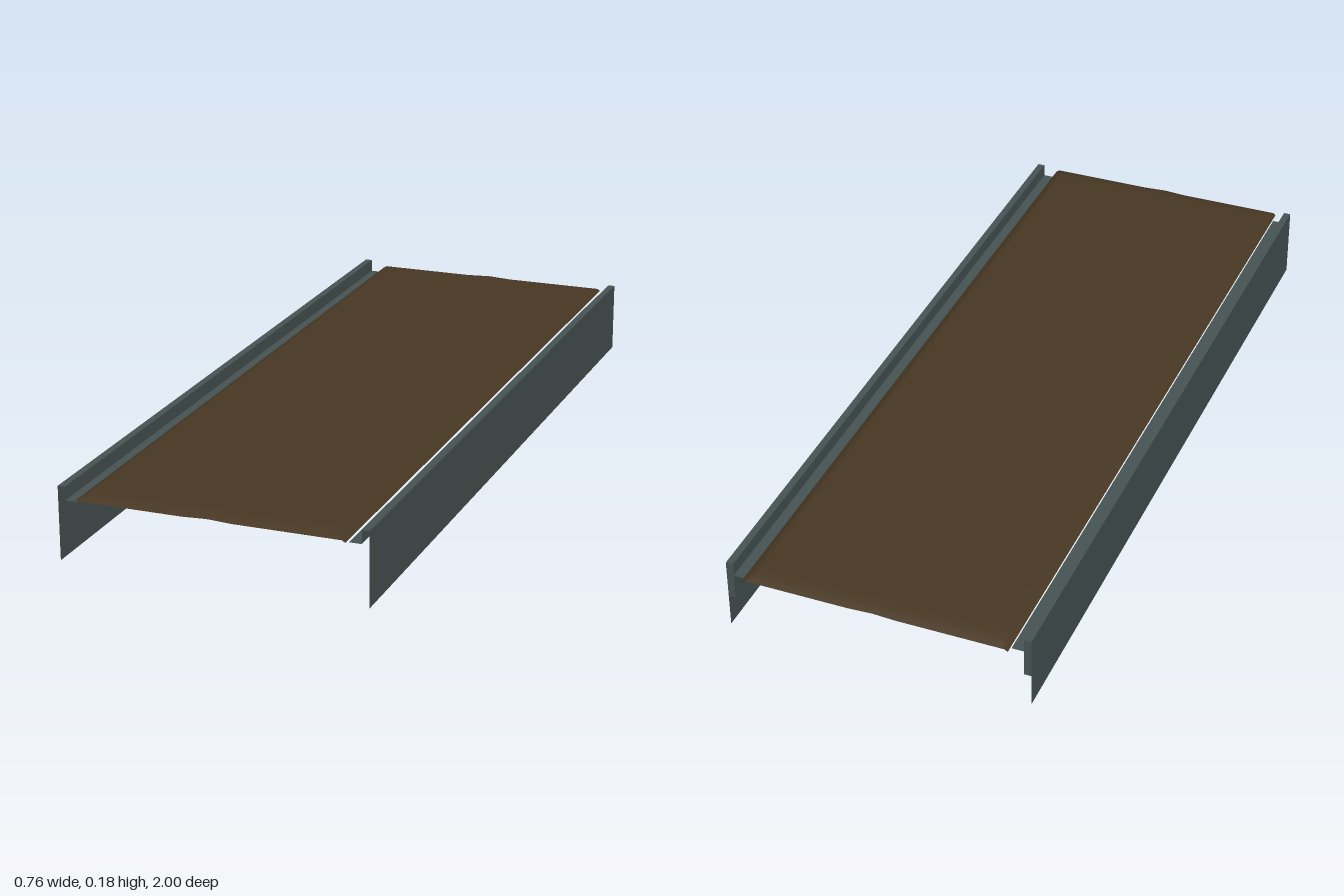
import * as THREE from 'three';

const steel = new THREE.MeshStandardMaterial({ color: 0x475353, side: THREE.DoubleSide });
steel.name = 'grey steel';
const rubber = new THREE.MeshStandardMaterial({ color: 0x483824, side: THREE.DoubleSide });
rubber.name = 'brown belt';

const END = 0.978; // half length of the rails

// Flat sheet running the length of the rail between two section points
function strip(name, [x0, y0], [x1, y1]) {
  const geo = new THREE.PlaneGeometry(1, 2 * END);
  const p = geo.attributes.position;
  for (let i = 0; i < p.count; i++) {
    const inner = p.getX(i) > 0;
    p.setXYZ(i, inner ? x1 : x0, inner ? y1 : y0, -p.getY(i));
  }
  geo.computeVertexNormals();
  const mesh = new THREE.Mesh(geo, steel);
  mesh.name = name;
  return mesh;
}

// Folded sheet-metal rail: tall outer skirt, top flange, inner lip and ledge
function sideRail(side) {
  const rail = new THREE.Group();
  rail.name = side > 0 ? 'leftRail' : 'rightRail';
  const at = (x, y) => [side * x, y];
  rail.add(
    strip('skirt', at(0.378, 0), at(0.378, 0.183)),
    strip('topFlange', at(0.378, 0.183), at(0.36, 0.183)),
    strip('innerLip', at(0.36, 0.183), at(0.36, 0.15)),
    strip('beltLedge', at(0.36, 0.15), at(0.33, 0.15)),
  );
  // Plate closing the back end of the fold
  const plate = new THREE.Mesh(new THREE.PlaneGeometry(0.018, 0.1), steel);
  plate.name = 'endPlate';
  plate.position.set(side * 0.369, 0.133, -END);
  plate.rotation.y = Math.PI;
  rail.add(plate);
  return rail;
}

// Thin belt with a slight centre crown, turned down along its sides and ends
function belt() {
  const xs = [-0.33, -0.322, -0.312, -0.3, -0.06, 0, 0.06, 0.3, 0.312, 0.322, 0.33];
  const zs = [-1, -0.99, -0.978, -0.95, -0.5, 0, 0.5, 0.95, 0.978, 0.99, 1];
  const geo = new THREE.PlaneGeometry(1, 1, xs.length - 1, zs.length - 1);
  const p = geo.attributes.position;
  const ramp = (v, from, to) => Math.max(0, (Math.abs(v) - from) / (to - from));
  for (let i = 0; i < p.count; i++) {
    const x = xs[i % xs.length];
    const z = zs[Math.floor(i / xs.length)];
    const sideDrop = 0.016 * ramp(x, 0.307, 0.33);
    const endDrop = 0.011 * ramp(z, 0.965, 1);
    const crown = x === 0 ? 0.003 : 0;
    p.setXYZ(i, x, 0.173 + crown - Math.max(sideDrop, endDrop), z);
  }
  geo.computeVertexNormals();
  const mesh = new THREE.Mesh(geo, rubber);
  mesh.name = 'belt';
  return mesh;
}

export function createModel() {
  const model = new THREE.Group();
  model.name = 'conveyorSection';
  model.add(belt(), sideRail(1), sideRail(-1));
  return model;
}
